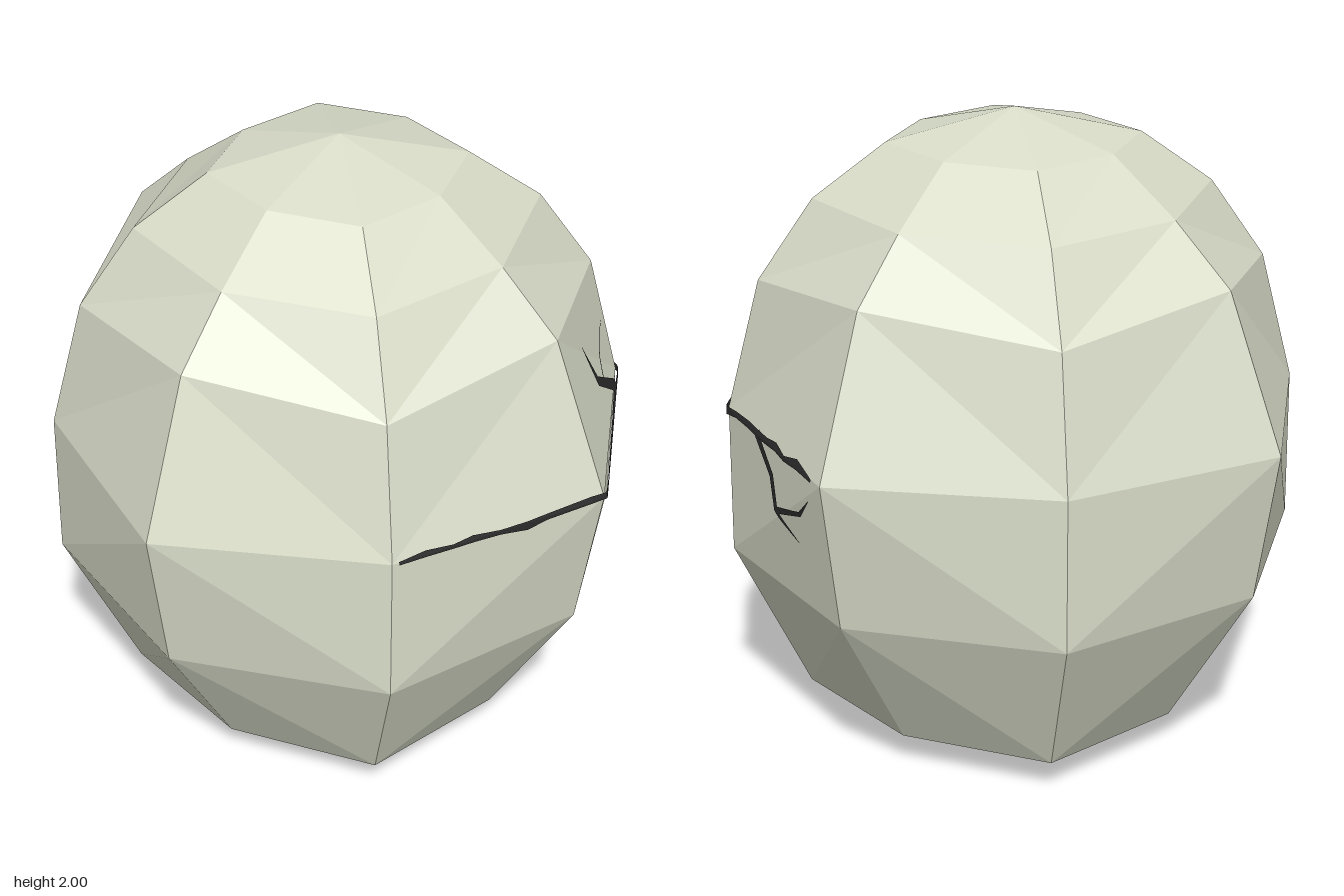
import * as THREE from 'three';

// Shell rings, bottom to top: [axis radius, axis y, diagonal x = z, diagonal y]
const RINGS = [
  [0.42, 0.05, 0.32, 0.05],
  [0.60, 0.11, 0.475, 0.11],
  [0.89, 0.60, 0.64, 0.60],
  [0.965, 1.08, 0.637, 1.08],
  [0.775, 1.56, 0.562, 1.49],
  [0.58, 1.74, 0.44, 1.74],
  [0.36, 1.905, 0.28, 1.905],
];

function shellGeometry() {
  const corner = (ring, i) => {
    const [r, y, d, dy] = RINGS[ring];
    const a = (i % 8) * Math.PI / 4;
    const radius = i % 2 ? d * Math.SQRT2 : r;
    return [Math.sin(a) * radius, i % 2 ? dy : y, Math.cos(a) * radius];
  };
  const pos = [];
  const tri = (...points) => points.forEach((p) => pos.push(...p));
  const last = RINGS.length - 1;
  for (let i = 0; i < 8; i++) {
    tri([0, 0, 0], corner(0, i + 1), corner(0, i));
    tri([0, 2, 0], corner(last, i), corner(last, i + 1));
    for (let k = 0; k < last; k++) {
      const a = corner(k, i), b = corner(k, i + 1);
      const c = corner(k + 1, i + 1), d = corner(k + 1, i);
      // mirrored diagonals keep the facets symmetrical
      if (i % 2) { tri(a, b, c); tri(a, c, d); }
      else { tri(a, b, d); tri(b, c, d); }
    }
  }
  const g = new THREE.BufferGeometry();
  g.setAttribute('position', new THREE.Float32BufferAttribute(pos, 3));
  g.computeVertexNormals();
  return g;
}

export function createModel() {
  const group = new THREE.Group();
  const shell = new THREE.Mesh(shellGeometry(),
    new THREE.MeshStandardMaterial({ color: 0xd9ddc9, flatShading: true }));
  shell.name = 'eggShell';
  group.add(shell);

  const crackMaterial = new THREE.MeshStandardMaterial({
    color: 0x2b2b2b, flatShading: true, side: THREE.DoubleSide });

  // Lay a flat point (u, y) on the shell, from the front (u = x) or the side (u = z)
  const caster = new THREE.Raycaster();
  const project = (side, u, y) => {
    const dir = side ? new THREE.Vector3(-1, 0, 0) : new THREE.Vector3(0, 0, -1);
    const from = side ? new THREE.Vector3(3, y, u) : new THREE.Vector3(u, y, 3);
    caster.set(from, dir);
    const hit = caster.intersectObject(shell)[0];
    return hit ? hit.point.addScaledVector(hit.face.normal, 0.01) : null;
  };

  // Join equal rows of points into one thin sheet
  const addSheet = (name, rows) => {
    const pos = [];
    for (let i = 0; i + 1 < rows.length; i++) {
      for (let j = 0; j + 1 < rows[i].length; j++) {
        const a = rows[i][j], b = rows[i + 1][j], c = rows[i + 1][j + 1], d = rows[i][j + 1];
        if (!a || !b || !c || !d) continue;
        for (const p of [a, b, c, a, c, d]) pos.push(p.x, p.y, p.z);
      }
    }
    const g = new THREE.BufferGeometry();
    g.setAttribute('position', new THREE.Float32BufferAttribute(pos, 3));
    g.computeVertexNormals();
    const mesh = new THREE.Mesh(g, crackMaterial);
    mesh.name = name;
    group.add(mesh);
  };

  // Main crack around the widest ring: [u, height above, depth below]
  const frontEdge = [
    [-0.62, 0.005, 0], [-0.54, 0.014, 0], [-0.46, 0.006, 0.002], [-0.4, 0.014, 0.002],
    [-0.32, 0.004, 0.006], [-0.24, 0.004, 0.02], [-0.18, 0.008, 0.006], [-0.04, 0.016, 0],
    [0.004, 0.01, 0.002], [0.08, 0.004, 0.008], [0.2, 0.01, 0.004], [0.34, 0.014, 0.003],
    [0.48, 0.022, 0], [0.54, 0.012, 0.006], [0.632, 0.004, 0.016],
  ];
  const sideEdge = [
    [0.632, 0.004, 0.018], [0.56, 0.01, 0.004], [0.47, 0.014, 0.002], [0.4, 0.012, 0.006],
    [0.34, 0.012, 0.004], [0.28, 0.02, 0], [0.22, 0.004, 0.008], [0.14, 0.024, 0],
    [0.04, 0.004, 0],
  ];
  const columns = (side, list) => list.map(([u, up, down]) =>
    [1.081 + up, 1.081, 1.079 - down].map((y) => project(side, u, y)));
  addSheet('mainCrack', [...columns(false, frontEdge), ...columns(true, sideEdge)]);

  // Tapered side crack along [u, y, half width] points
  const addBranch = (name, side, path) => {
    const rows = [];
    path.forEach(([u, y], i) => {
      const p = path[Math.max(i - 1, 0)], n = path[Math.min(i + 1, path.length - 1)];
      const dir = new THREE.Vector2(n[0] - p[0], n[1] - p[1]).normalize();
      path[i].push(-dir.y, dir.x);
    });
    for (let i = 0; i + 1 < path.length; i++) {
      for (let s = i ? 1 : 0; s <= 4; s++) {
        const [u, y, w, nx, ny] = path[i].map((v, k) => THREE.MathUtils.lerp(v, path[i + 1][k], s / 4));
        rows.push([-1, 1].map((e) => project(side, u + e * w * nx, y + e * w * ny)));
      }
    }
    addSheet(name, rows);
  };
  addBranch('upperBranch', false, [[0.53, 1.088, 0.018], [0.31, 1.24, 0.013], [0.225, 1.4, 0.001]]);
  addBranch('upperTwig', false, [[0.385, 1.19, 0.005], [0.43, 1.27, 0.004], [0.47, 1.305, 0.003], [0.52, 1.318, 0.001]]);
  addBranch('lowerBranch', true, [[0.41, 1.085, 0.016], [0.31, 0.99, 0.014], [0.285, 0.885, 0.012]]);
  addBranch('lowerFork', true, [[0.29, 0.887, 0.01], [0.13, 0.94, 0.008], [0.065, 1.01, 0.001]]);
  addBranch('lowerTwig', true, [[0.29, 0.89, 0.01], [0.24, 0.865, 0.007], [0.16, 0.83, 0.001]]);

  return group;
}
